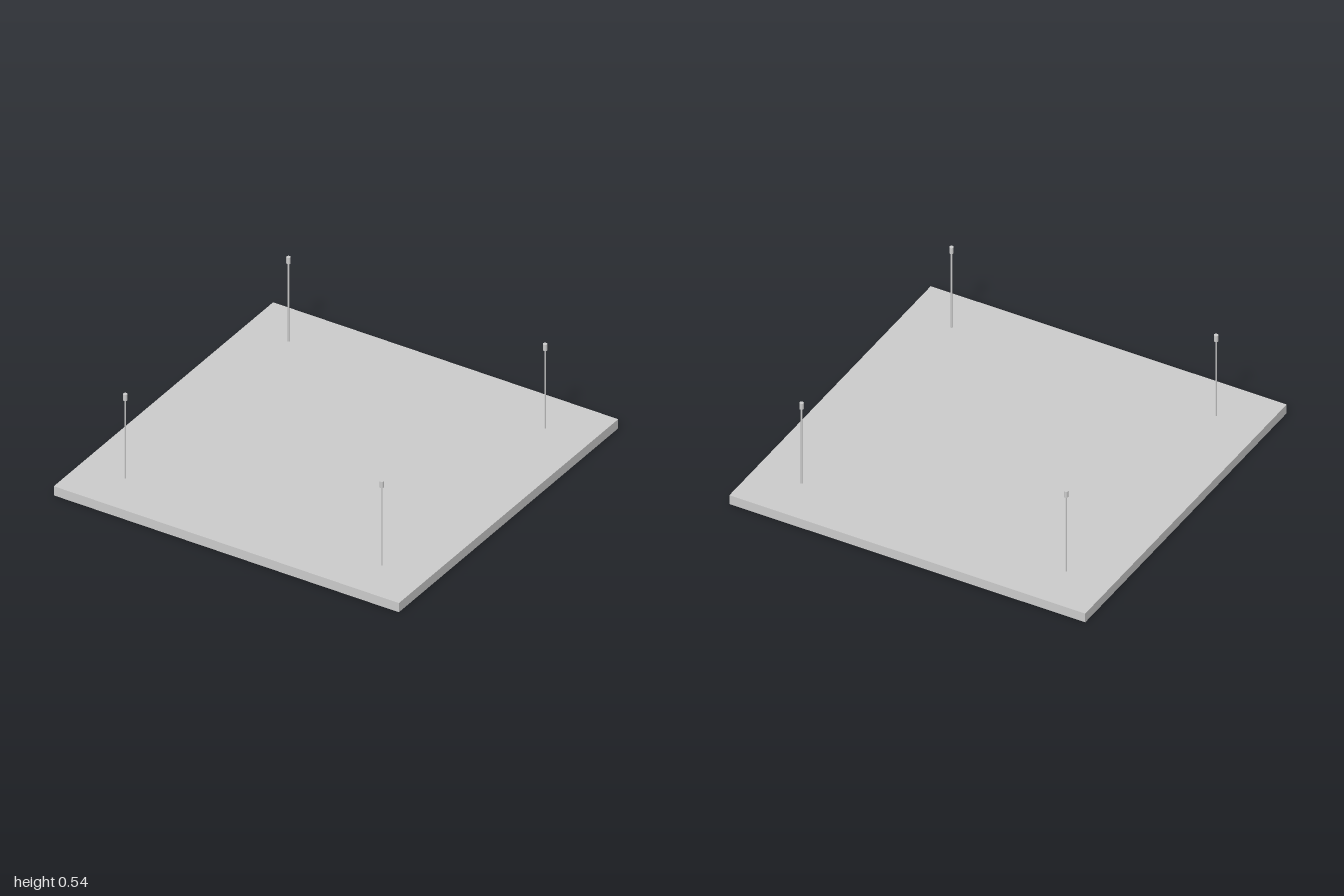
import * as THREE from 'three';

export function createModel() {
  const group = new THREE.Group();
  const material = new THREE.MeshStandardMaterial({ color: 0xcccccc });
  const panelHeight = 0.053, capBottom = 0.504, top = 0.54;

  const add = (parent, name, geometry, y) => {
    const mesh = new THREE.Mesh(geometry, material);
    mesh.name = name;
    mesh.position.y = y;
    parent.add(mesh);
  };

  // Flat square panel
  add(group, 'panel', new THREE.BoxGeometry(2, panelHeight, 2), panelHeight / 2);

  // Four suspension rods, each with a small cylindrical ceiling fitting
  const rodLength = capBottom - panelHeight;
  const rodGeometry = new THREE.CylinderGeometry(0.004, 0.004, rodLength, 16);
  const capGeometry = new THREE.CylinderGeometry(0.011, 0.011, top - capBottom, 24);
  for (const [side, x] of [['right', -0.745], ['left', 0.742]]) {
    for (const [end, z] of [['Back', -0.739], ['Front', 0.75]]) {
      const hanger = new THREE.Group();
      hanger.name = `${side}${end}Hanger`;
      hanger.position.set(x, 0, z);
      add(hanger, 'rod', rodGeometry, panelHeight + rodLength / 2);
      add(hanger, 'ceilingFitting', capGeometry, (top + capBottom) / 2);
      group.add(hanger);
    }
  }
  return group;
}
